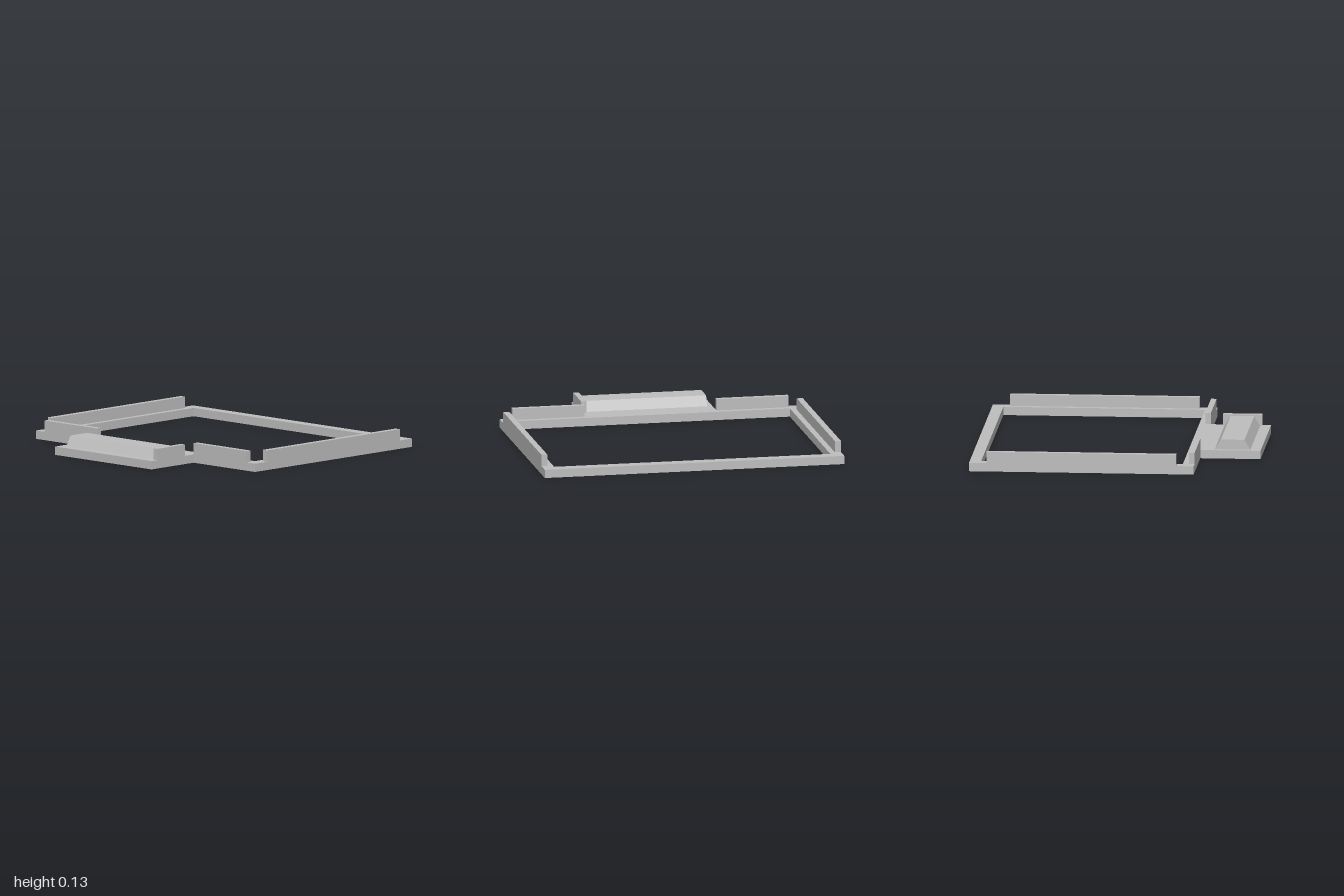
import * as THREE from 'three';

const BASE_H = 0.055; // height of the frame and the ledge
const WALL_H = 0.075; // height of the raised lips

export function createModel() {
  const model = new THREE.Group();
  model.name = 'trayFrame';
  const grey = new THREE.MeshStandardMaterial({ color: 0xbebebe });
  grey.name = 'plain grey';

  const add = (name, geometry) => {
    const mesh = new THREE.Mesh(geometry, grey);
    mesh.name = name;
    model.add(mesh);
    return mesh;
  };
  // raised lip standing on the base, given by its x and z extents
  const lip = (name, x0, x1, z0, z1) => {
    const mesh = add(name, new THREE.BoxGeometry(x1 - x0, WALL_H, z1 - z0));
    mesh.position.set((x0 + x1) / 2, BASE_H + WALL_H / 2, (z0 + z1) / 2);
  };
  const points = (list) => list.map(([a, b]) => new THREE.Vector2(a, b));

  // rectangular frame with the front ledge, drawn in (x, -z) and laid flat
  const outline = new THREE.Shape(points([
    [-1, 0.935], [-1, -0.54], [-0.44, -0.54], [-0.44, -0.935],
    [0.44, -0.935], [0.44, -0.54], [1, -0.54], [1, 0.935],
  ]));
  outline.holes.push(new THREE.Path(points([
    [-0.922, 0.86], [0.922, 0.86], [0.922, -0.463], [-0.922, -0.463],
  ])));
  const base = new THREE.ExtrudeGeometry(outline, { depth: BASE_H, bevelEnabled: false });
  base.rotateX(-Math.PI / 2);
  add('baseFrame', base);

  // lips along the sides and beside the ledge
  lip('leftSideLip', 0.96, 1, -0.82, 0.425);
  lip('rightSideLip', -1, -0.96, -0.82, 0.425);
  lip('leftFrontLip', 0.44, 0.922, 0.503, 0.54);
  lip('rightFrontLip', -0.922, -0.44, 0.503, 0.54);

  // single end stop on the ledge
  lip('ledgeEndStop', 0.403, 0.44, 0.622, 0.88);

  // long bar with sloped front and back, profile in (-z, y)
  const profile = new THREE.Shape(points([
    [-0.865, BASE_H], [-0.632, BASE_H], [-0.672, 0.12], [-0.827, 0.12],
  ]));
  const bar = new THREE.ExtrudeGeometry(profile, { depth: 0.808, bevelEnabled: false });
  bar.rotateY(Math.PI / 2);
  bar.translate(-0.405, 0, 0);
  add('ledgeBar', bar);

  return model;
}
